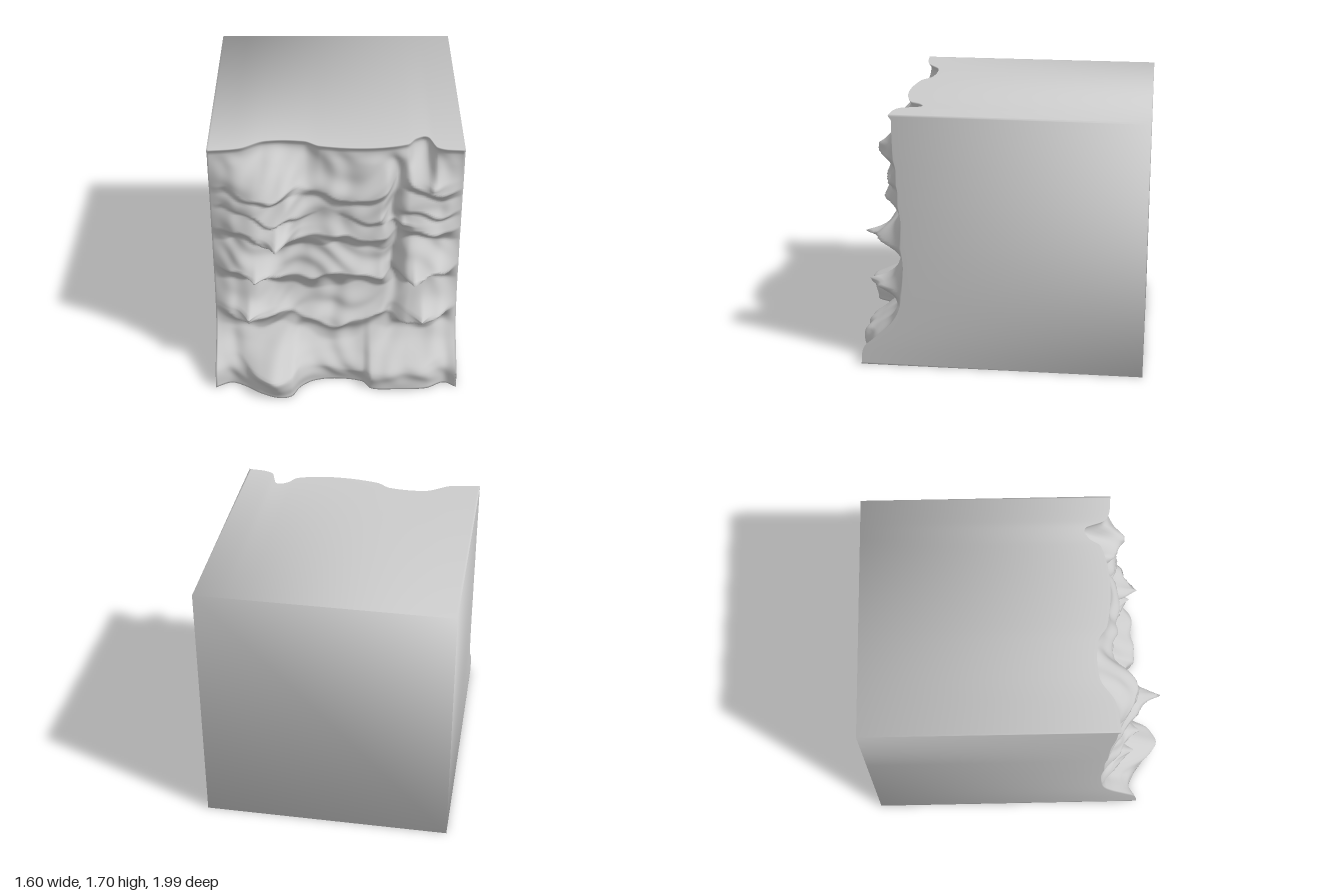
import * as THREE from 'three';

const W = 1.6, H = 1.7, NX = 128, NY = 144, BACK = -1;
const { lerp, smoothstep } = THREE.MathUtils;

// Smooth curve through knots (Hermite, with slopes taken from the neighbours)
function along(xs, vs, x) {
  const last = xs.length - 1;
  let i = 0;
  while (i < last - 1 && x > xs[i + 1]) i++;
  const slope = k => {
    const a = Math.max(0, k - 1), b = Math.min(last, k + 1);
    return (vs[b] - vs[a]) / (xs[b] - xs[a]);
  };
  const h = xs[i + 1] - xs[i], t = Math.min(1, (x - xs[i]) / h), s = 1 - t;
  return s * s * ((1 + 2 * t) * vs[i] + t * h * slope(i)) + t * t * ((1 + 2 * s) * vs[i + 1] - s * h * slope(i + 1));
}

// Rims of the rock face: top edge and flared foot
const topX = [-0.8, -0.6, -0.45, -0.2, -0.1, 0.2, 0.45, 0.5, 0.58, 0.63, 0.8];
const topZ = [0.6, 0.57, 0.48, 0.48, 0.54, 0.57, 0.52, 0.45, 0.43, 0.56, 0.6];
const footX = [-0.8, -0.7, -0.6, -0.5, -0.38, -0.29, -0.24, -0.15, 0, 0.18, 0.23, 0.4, 0.6, 0.72, 0.8];
const footZ = [0.84, 0.79, 0.83, 0.9, 0.95, 0.93, 0.84, 0.77, 0.745, 0.78, 0.85, 0.86, 0.85, 0.79, 0.84];
const flareY = [0, 0.12, 0.2, 0.28, 0.38, 0.52, H];
const flare = [1, 0.93, 0.64, 0.34, 0.12, 0, 0];

// Horizontal ledges: lip height and depth across the width
const ledgeX = [-0.8, -0.6, -0.42, -0.3, -0.16, 0, 0.3, 0.38, 0.48, 0.65, 0.8];
const ledges = [
  { y: [1.42, 1.4, 1.41, 1.42, 1.4, 1.37, 1.38, 1.46, 1.46, 1.43, 1.4],
    d: [0, 0.08, 0.15, 0.11, 0.03, 0.07, 0.08, 0, 0.1, 0.13, 0.01] },
  { y: [1.28, 1.27, 1.25, 1.25, 1.2, 1.22, 1.2, 1.24, 1.26, 1.24, 1.24],
    d: [0, 0.07, 0.16, 0.12, 0.03, 0.02, 0.09, 0, 0.09, 0.1, 0.01] },
  { y: [1.1, 1.11, 1.12, 1.13, 1.07, 1.06, 1.06, 1.08, 1.1, 1.11, 1.1],
    d: [0.01, 0.12, 0.2, 0.16, 0.07, 0.08, 0.08, 0.01, 0.1, 0.12, 0.01] },
  { y: [0.82, 0.82, 0.78, 0.77, 0.77, 0.77, 0.76, 0.79, 0.82, 0.82, 0.81],
    d: [0.01, 0.15, 0.16, 0.06, 0.09, 0.1, 0.09, 0.02, 0.19, 0.18, 0.01] },
  { y: [0.48, 0.49, 0.47, 0.46, 0.42, 0.39, 0.44, 0.45, 0.48, 0.5, 0.48],
    d: [0.01, 0.15, 0.13, 0.06, 0.08, 0.09, 0.08, 0.05, 0.18, 0.18, 0.01] },
  { y: [0.19, 0.19, 0.16, 0.15, 0.12, 0.11, 0.13, 0.13, 0.16, 0.19, 0.19],
    d: [0, 0.04, 0.1, 0.07, 0.02, 0.02, 0.03, 0.02, 0.03, 0.04, 0] },
];

// Sharp outcrops on the lips: x, y, depth
const spikes = [[-0.38, 1.14, 0.2], [-0.52, 0.82, 0.12], [-0.57, 0.52, 0.13],
  [0.56, 0.52, 0.1], [0.5, 0.83, 0.1], [0.42, 1.17, 0.08], [0.6, 1.47, 0.06]];

function rockDepth(x, y) {
  let z = 0.6 - 0.05 * Math.sin(Math.PI * Math.min(1, (H - y) / 2.3));
  z = lerp(z, along(topX, topZ, x), smoothstep(y, 1.35, 1.66));
  z = lerp(z, along(footX, footZ, x), along(flareY, flare, y));

  // fades out the irregularities at the borders
  const fade = smoothstep(0.8 - Math.abs(x), 0, 0.15) * smoothstep(H - y, 0, 0.12) * smoothstep(y, 0, 0.12);
  const wx = x + 0.02 * fade * Math.sin(15 * y + 2 * Math.sin(6 * x));
  const wy = y + fade * (0.02 * Math.sin(11 * x + 5 * y) + 0.01 * Math.sin(29 * x - 9 * y));

  // each ledge slopes back above its lip and is undercut below it
  let shelf = 0;
  for (const l of ledges) {
    const d = wy - along(ledgeX, l.y, wx);
    const shape = d > 0 ? Math.max(0, 1 - d / 0.26) ** 1.5 : Math.max(0, 1 + d / 0.16) ** 1.9;
    shelf = Math.max(shelf, along(ledgeX, l.d, wx) * shape);
  }
  for (const [sx, sy, depth] of spikes) {
    shelf += depth * Math.exp(-Math.abs(x - sx) / 0.05 - Math.abs(y - sy) / (y < sy ? 0.045 : 0.025));
  }

  // upper left buttress and the fissure at the right
  const upper = smoothstep(y, 0.8, 1.05) * smoothstep(H - y, 0.02, 0.2);
  shelf += 0.05 * upper * smoothstep(wx, -0.7, -0.5) * smoothstep(-wx, 0.2, 0.34);
  shelf -= 0.03 * fade * smoothstep(y, 0.5, 0.7) * Math.exp(-(((wx - 0.37) / 0.04) ** 2));

  const rough = Math.sin(13 * x + 4 * Math.sin(7 * y)) * Math.sin(17 * y + 3 * Math.sin(9 * x));
  const lip = 0.02 * smoothstep(y, 1.66, H);
  return Math.min(1, z + shelf * smoothstep(H - y, 0, 0.12) + 0.014 * fade * rough + lip);
}

function cliffGeometry() {
  const pos = [], idx = [];
  const id = (i, j) => j * (NX + 1) + i;
  // craggy front
  for (let j = 0; j <= NY; j++) {
    for (let i = 0; i <= NX; i++) {
      const x = (i / NX - 0.5) * W, y = (j / NY) * H;
      pos.push(x, y, rockDepth(x, y));
      if (i < NX && j < NY) {
        const a = id(i, j), b = id(i + 1, j), c = id(i + 1, j + 1), d = id(i, j + 1);
        idx.push(a, b, c, a, c, d);
      }
    }
  }
  // bottom, right, top and left: strips from the front rim to the back edge
  const rim = [];
  for (let i = 0; i < NX; i++) rim.push(id(i, 0));
  for (let j = 0; j < NY; j++) rim.push(id(NX, j));
  for (let i = NX; i > 0; i--) rim.push(id(i, NY));
  for (let j = NY; j > 0; j--) rim.push(id(0, j));
  const back = pos.length / 3, n = rim.length;
  rim.forEach((v, k) => {
    const next = (k + 1) % n;
    pos.push(pos[3 * v], pos[3 * v + 1], BACK);
    idx.push(rim[next], v, back + k, rim[next], back + k, back + next);
  });
  // flat back
  const [c0, c1, c2, c3] = [0, NX, NX + NY, 2 * NX + NY].map(k => back + k);
  idx.push(c1, c0, c2, c0, c3, c2);

  const g = new THREE.BufferGeometry();
  g.setAttribute('position', new THREE.Float32BufferAttribute(pos, 3));
  g.setIndex(idx);
  g.computeVertexNormals();
  // soft shading round the back edges
  const normal = new THREE.Vector3();
  for (let v = back; v < back + n; v++) {
    normal.set(pos[3 * v] / (W / 2), pos[3 * v + 1] / (H / 2) - 1, -1).normalize();
    g.attributes.normal.setXYZ(v, normal.x, normal.y, normal.z);
  }
  return g;
}

export function createModel() {
  const group = new THREE.Group();
  group.name = 'rockCliff';
  const cliff = new THREE.Mesh(cliffGeometry(), new THREE.MeshStandardMaterial({ color: 0xcccccc }));
  cliff.name = 'cliffBlock';
  group.add(cliff);
  return group;
}
